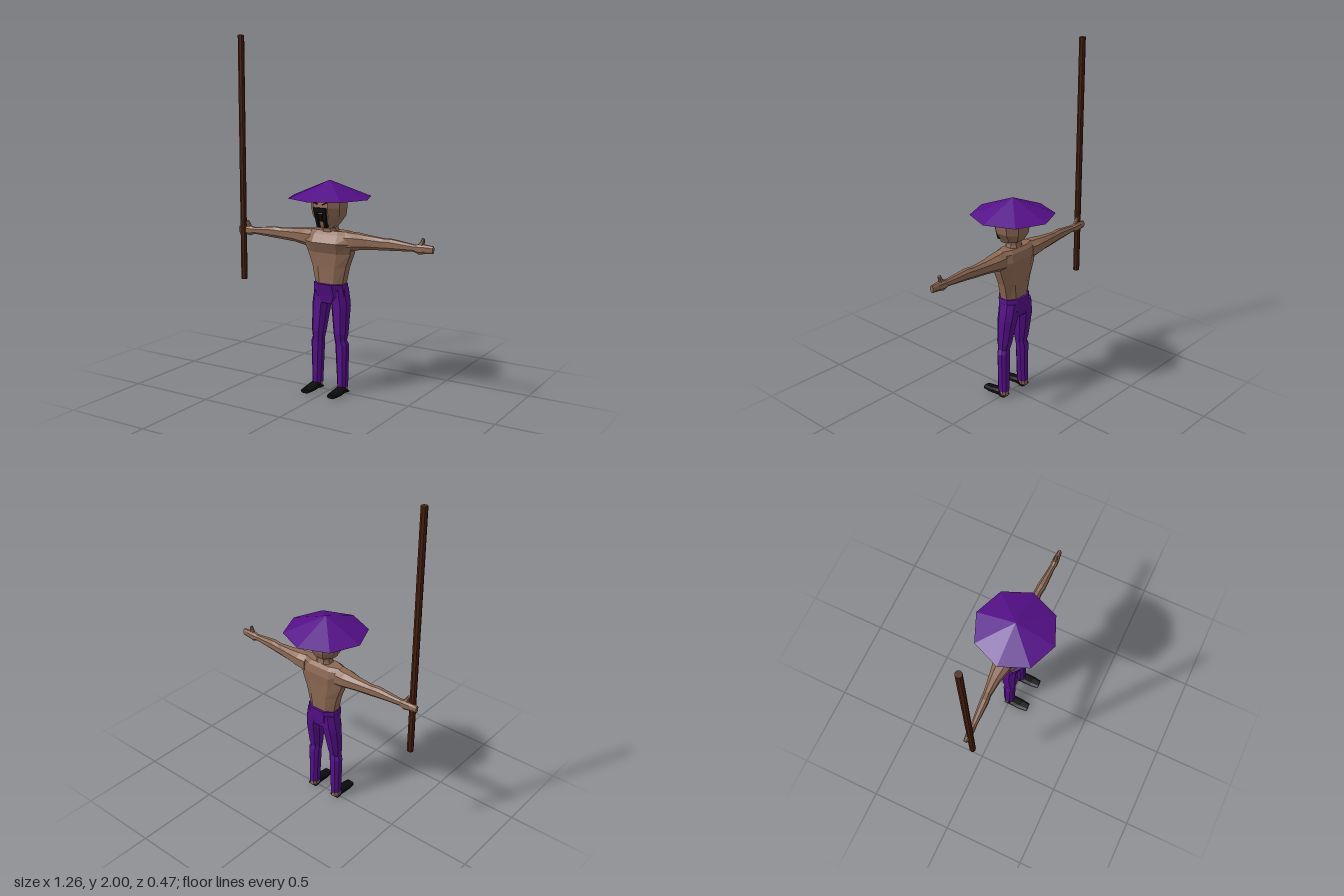
import * as THREE from 'three';

const paint = (color) => new THREE.MeshStandardMaterial({ color, flatShading: true, side: THREE.DoubleSide });

// Eight-sided outline, as [across, deep] factors
const RING = [[1, 0.45], [0.5, 1], [-0.5, 1], [-1, 0.45], [-1, -0.45], [-0.5, -1], [0.5, -1], [1, -0.45]];

// Faceted skin over cross-sections [position, min1, max1, min2, max2].
// axis 'y': ranges are x and z; axis 'x': y and z; axis 'z': x and y.
function loft(axis, sections, side = 1) {
  const pos = [], index = [], n = RING.length;
  for (const [t, a0, a1, b0, b1] of sections) {
    for (const [u, v] of RING) {
      const w = axis === 'y' ? -v : v;
      const a = (a0 + a1) / 2 + u * (a1 - a0) / 2;
      const b = (b0 + b1) / 2 + w * (b1 - b0) / 2;
      const p = axis === 'y' ? [a, t, b] : axis === 'x' ? [t, a, b] : [a, b, t];
      pos.push(p[0] * side, p[1], p[2]);
    }
  }
  const tri = (a, b, c) => (side > 0 ? index.push(a, b, c) : index.push(a, c, b));
  for (let i = 0; i < sections.length - 1; i++) {
    for (let j = 0; j < n; j++) {
      const a = i * n + j, b = i * n + (j + 1) % n;
      tri(a, b, b + n);
      tri(a, b + n, a + n);
    }
  }
  const last = (sections.length - 1) * n;
  for (let j = 1; j < n - 1; j++) {
    tri(0, j + 1, j);
    tri(last, last + j, last + j + 1);
  }
  const g = new THREE.BufferGeometry();
  g.setAttribute('position', new THREE.Float32BufferAttribute(pos, 3));
  g.setIndex(index);
  const flat = g.toNonIndexed();
  flat.computeVertexNormals();
  return flat;
}

// Thin plate following the slope of the face
function facePlate(points) {
  const shape = new THREE.Shape(points.map(([x, y]) => new THREE.Vector2(x, y)));
  const g = new THREE.ExtrudeGeometry(shape, { depth: 0.018, bevelEnabled: false });
  const p = g.attributes.position;
  for (let i = 0; i < p.count; i++) {
    const y = p.getY(i);
    p.setZ(i, p.getZ(i) + 0.067 + Math.min(y - 0.95, 0.1) * 0.3 - Math.max(0, y - 1.05) * 0.15);
  }
  g.computeVertexNormals();
  return g;
}

export function createModel() {
  const model = new THREE.Group();
  const skin = paint(0x8c6853), purple = paint(0x551089), black = paint(0x0b0b0b), wood = paint(0x4a2110);
  const add = (name, geometry, material, parent = model) => {
    const m = new THREE.Mesh(geometry, material);
    m.name = name;
    parent.add(m);
    return m;
  };

  // Torso: narrow waist, deep chest, sloping shoulders
  add('torso', loft('y', [
    [0.61, -0.085, 0.085, -0.065, 0.042],
    [0.72, -0.108, 0.108, -0.068, 0.042],
    [0.8, -0.138, 0.138, -0.07, 0.045],
    [0.86, -0.153, 0.153, -0.075, 0.072],
    [0.905, -0.15, 0.15, -0.065, 0.045],
    [0.925, -0.12, 0.12, -0.05, 0.025],
  ]), skin);

  // Neck and head
  add('neck', loft('y', [
    [0.9, -0.055, 0.055, -0.055, 0.03],
    [0.94, -0.042, 0.042, -0.045, 0.032],
    [1.0, -0.042, 0.042, -0.045, 0.035],
  ]), skin);
  add('head', loft('y', [
    [0.945, -0.045, 0.045, -0.01, 0.07],
    [0.965, -0.056, 0.056, -0.06, 0.078],
    [1.01, -0.086, 0.086, -0.08, 0.09],
    [1.06, -0.093, 0.093, -0.086, 0.101],
    [1.12, -0.09, 0.09, -0.086, 0.095],
    [1.15, -0.06, 0.06, -0.06, 0.06],
  ]), skin);

  // Drooping moustache and slanted eyes
  add('moustache', facePlate([
    [-0.04, 1.062], [-0.032, 0.95], [-0.014, 0.95], [-0.018, 1.035],
    [0.018, 1.035], [0.014, 0.95], [0.032, 0.95], [0.04, 1.062],
  ]), black);
  add('mouth', facePlate([[-0.012, 1.025], [-0.008, 0.985], [0.008, 0.985], [0.012, 1.025]]), black);
  for (const s of [1, -1]) {
    add(s > 0 ? 'leftEye' : 'rightEye',
      facePlate([[s * 0.018, 1.078], [s * 0.045, 1.09], [s * 0.042, 1.096], [s * 0.018, 1.084]]), black);
  }

  // Wide conical hat with eight panels
  const hat = add('hat', new THREE.ConeGeometry(0.237, 0.097, 8), purple);
  hat.position.y = 1.157;

  // Trouser seat
  add('trouserSeat', loft('y', [
    [0.515, -0.06, 0.06, -0.07, 0.036],
    [0.56, -0.1, 0.1, -0.078, 0.045],
    [0.627, -0.092, 0.092, -0.08, 0.063],
  ]), purple);

  for (const s of [1, -1]) {
    const label = s > 0 ? 'left' : 'right';

    // Arm with a slight bulge at shoulder and elbow
    add(label + 'Arm', loft('x', [
      [0.11, 0.815, 0.922, -0.06, 0.04],
      [0.165, 0.827, 0.92, -0.064, 0.034],
      [0.24, 0.837, 0.912, -0.052, 0.016],
      [0.335, 0.842, 0.905, -0.038, 0.006],
      [0.38, 0.846, 0.908, -0.036, 0.012],
      [0.53, 0.856, 0.891, -0.022, 0.009],
    ], s), skin);

    // Hand and raised thumb
    const hand = new THREE.Group();
    hand.name = label + 'Hand';
    model.add(hand);
    add('palm', loft('x', [
      [0.52, 0.856, 0.891, -0.022, 0.009],
      [0.55, 0.843, 0.898, -0.025, 0.012],
      [0.585, 0.85, 0.897, -0.024, 0.01],
      [0.63, 0.854, 0.893, -0.018, 0.003],
    ], s), skin, hand);
    const thumb = add('thumb', loft('y', [
      [-0.03, -0.018, 0.018, -0.012, 0.012],
      [0.015, -0.01, 0.012, -0.01, 0.01],
      [0.034, -0.008, 0.008, -0.008, 0.008],
    ]), skin, hand);
    thumb.position.set(s * 0.562, 0.897, -0.006);
    thumb.rotation.z = -s * 0.35;

    // Trouser leg, loose at the thigh and gathered at the knee
    add(label + 'TrouserLeg', loft('y', [
      [0.035, 0.056, 0.11, -0.035, 0.028],
      [0.28, 0.043, 0.116, -0.036, 0.03],
      [0.305, 0.04, 0.105, -0.03, 0.032],
      [0.345, 0.034, 0.11, -0.042, 0.038],
      [0.5, 0.014, 0.112, -0.07, 0.036],
      [0.53, 0.006, 0.108, -0.074, 0.036],
      [0.6, 0.004, 0.096, -0.076, 0.036],
    ], s), purple);

    // Bare heel above the sole, and shoe
    add(label + 'Heel', loft('y', [
      [0.008, 0.06, 0.11, -0.03, 0.02],
      [0.045, 0.06, 0.106, -0.032, 0.022],
    ], s), skin);
    add(label + 'Shoe', loft('z', [
      [-0.026, 0.056, 0.114, 0, 0.012],
      [-0.005, 0.054, 0.116, 0, 0.02],
      [0.01, 0.054, 0.116, 0, 0.042],
      [0.032, 0.054, 0.117, 0, 0.038],
      [0.08, 0.054, 0.118, 0, 0.028],
      [0.13, 0.06, 0.112, 0.002, 0.024],
    ], s), black);
  }

  // Long staff in the right hand
  const staff = add('staff', new THREE.CylinderGeometry(0.0185, 0.0185, 1.42, 8), wood);
  staff.position.set(-0.593, 1.29, 0.006);

  return model;
}
